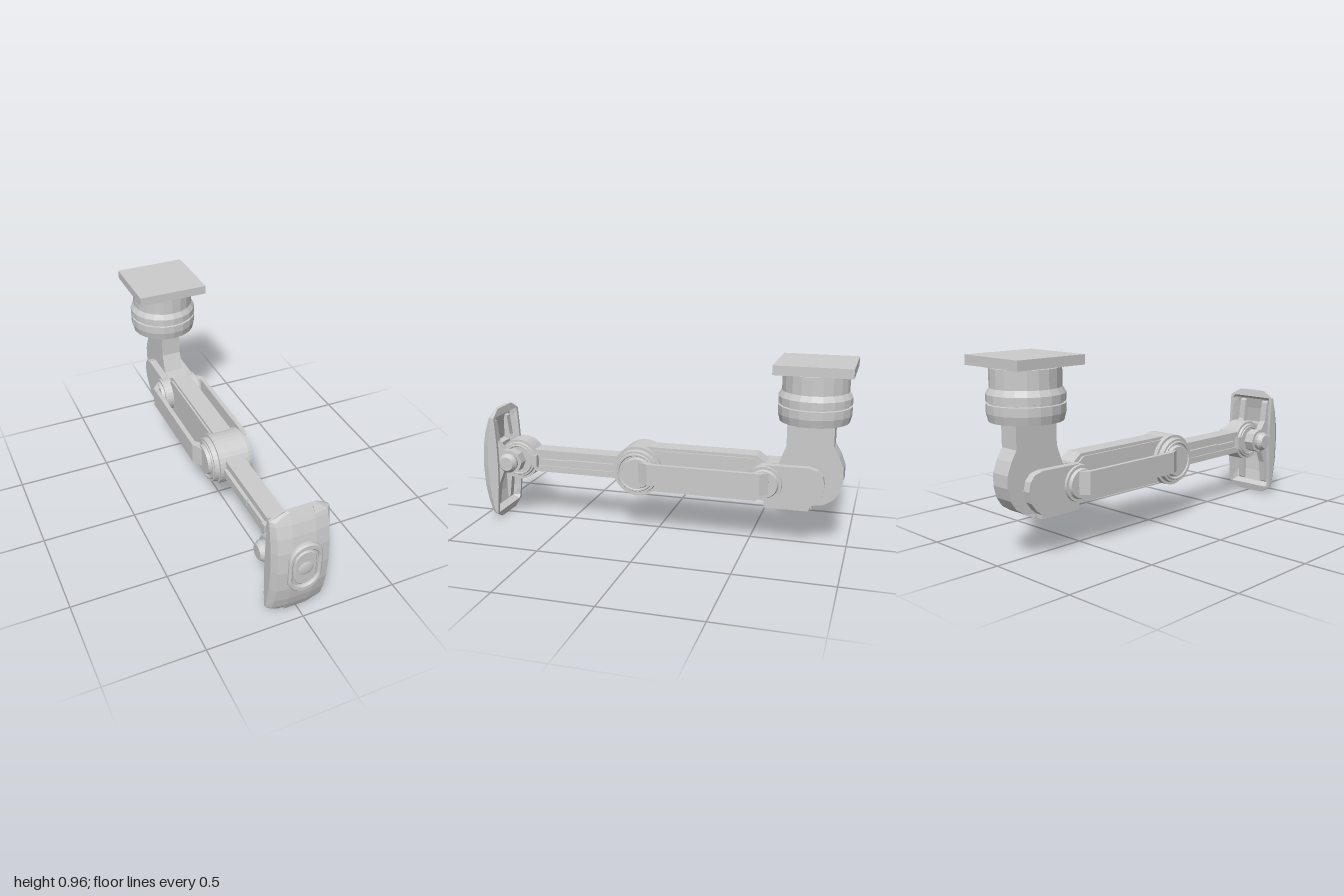
import * as THREE from 'three';

const mat = new THREE.MeshStandardMaterial({ color: 0xcccccc, flatShading: true });
const matDouble = new THREE.MeshStandardMaterial({ color: 0xcccccc, flatShading: true, side: THREE.DoubleSide });
const CX = -0.006; // centre line of the arm
const AY = 0.335;  // height of the pivots

export function createModel() {
  const root = new THREE.Group();

  function add(name, geo, material = mat) {
    const m = new THREE.Mesh(geo, material);
    m.name = name;
    root.add(m);
    return m;
  }
  const box = (name, x0, x1, y0, y1, z0, z1) =>
    add(name, new THREE.BoxGeometry(x1 - x0, y1 - y0, z1 - z0)
      .translate((x0 + x1) / 2, (y0 + y1) / 2, (z0 + z1) / 2));
  // side outline in (z, y), extruded across x
  function slab(name, pts, x0, x1) {
    const shape = new THREE.Shape(pts.map(p => new THREE.Vector2(p[0], p[1])));
    const geo = new THREE.ExtrudeGeometry(shape, { depth: x1 - x0, bevelEnabled: false });
    return add(name, geo.rotateY(-Math.PI / 2).translate(x1, 0, 0));
  }
  // disc with its axis along x; r0 is the radius at x0, r1 at x1
  function disc(name, r0, r1, x0, x1, z, y = AY, seg = 32) {
    return add(name, new THREE.CylinderGeometry(r0, r1, x1 - x0, seg)
      .rotateZ(Math.PI / 2).translate((x0 + x1) / 2, y, z));
  }
  // same disc on both sides, given by distances from the centre line
  function discPair(name, rIn, rOut, d0, d1, z, seg = 32) {
    disc(name + 'Right', rIn, rOut, CX + d0, CX + d1, z, AY, seg);
    disc(name + 'Left', rOut, rIn, CX - d1, CX - d0, z, AY, seg);
  }
  function ring(name, r, tube, d, z) {
    for (const s of [-1, 1])
      add(name, new THREE.TorusGeometry(r, tube, 6, 32).rotateY(Math.PI / 2).translate(CX + s * d, AY, z));
  }

  // mounting plate and swivel housing
  box('mountingPlate', -0.193, 0.193, 0.913, 0.96, -1, -0.617);
  const profile = [[0, 0.66], [0.174, 0.66], [0.184, 0.7], [0.184, 0.741], [0.173, 0.743], [0.173, 0.75],
    [0.184, 0.752], [0.184, 0.787], [0.167, 0.815], [0.167, 0.905], [0.16, 0.907], [0.16, 0.915]];
  add('swivelHousing', new THREE.LatheGeometry(profile.map(p => new THREE.Vector2(...p)), 20)
    .translate(0, 0, -0.807));

  // bent neck and shoulder cheeks
  slab('neck', [[-0.68, 0.67], [-0.915, 0.67], [-0.915, 0.54], [-0.945, 0.49], [-0.968, 0.43], [-0.97, 0.37],
    [-0.955, 0.31], [-0.925, 0.265], [-0.88, 0.235], [-0.82, 0.225], [-0.82, 0.205], [-0.58, 0.205],
    [-0.58, 0.43], [-0.645, 0.435], [-0.68, 0.53]], CX - 0.052, CX + 0.056);
  const cheek = [[-0.58, 0.205], [-0.58, 0.43], [-0.8, 0.432], [-0.845, 0.42], [-0.872, 0.39], [-0.882, 0.345],
    [-0.87, 0.29], [-0.84, 0.25], [-0.81, 0.225], [-0.81, 0.205]].reverse();
  slab('cheekRight', cheek, CX + 0.05, CX + 0.092);
  slab('cheekLeft', cheek, CX - 0.092, CX - 0.05);
  discPair('shoulderFlange', 0.095, 0.09, 0.05, 0.105, -0.58);
  discPair('shoulderHub', 0.078, 0.07, 0.1, 0.12, -0.58);

  // upper arm: core with a slightly smaller cover on each side
  slab('upperArm', [[0.06, 0.22], [0.06, 0.465], [-0.53, 0.465], [-0.59, 0.42], [-0.59, 0.265], [-0.53, 0.22]],
    CX - 0.05, CX + 0.05);
  slab('upperArmCover', [[0.04, 0.235], [0.04, 0.45], [-0.52, 0.45], [-0.57, 0.41], [-0.57, 0.275], [-0.52, 0.235]],
    CX - 0.06, CX + 0.06);

  // knee joint
  disc('kneeDrum', 0.135, 0.135, CX - 0.082, CX + 0.082, 0.1);
  discPair('kneeFlange', 0.122, 0.117, 0.08, 0.107, 0.1);
  ring('kneeRing', 0.098, 0.007, 0.107, 0.1);
  discPair('kneeHub', 0.085, 0.078, 0.105, 0.125, 0.09);

  // bowed links outside the upper arm, outline in (distance from centre, z)
  const link = [[0.108, 0.08], [0.125, 0.08], [0.156, 0.025], [0.156, -0.565], [0.122, -0.605], [0.108, -0.605],
    [0.108, -0.57], [0.132, -0.54], [0.132, 0.0], [0.108, 0.03]];
  for (const s of [-1, 1]) {
    const shape = new THREE.Shape(link.map(p => new THREE.Vector2(s * p[0], -p[1])));
    const geo = new THREE.ExtrudeGeometry(shape, { depth: 0.113, bevelEnabled: false });
    add(s > 0 ? 'sideLinkRight' : 'sideLinkLeft', geo.rotateX(-Math.PI / 2).translate(CX, 0.286, 0));
  }

  // forearm with edge rails and a slider in each side channel
  box('forearm', CX - 0.042, CX + 0.042, 0.275, 0.398, 0.18, 0.8);
  for (const s of [-1, 1]) {
    const side = (name, d0, d1, ...rest) =>
      box(name, CX + Math.min(s * d0, s * d1), CX + Math.max(s * d0, s * d1), ...rest);
    side('upperRail', 0.04, 0.05, 0.362, 0.398, 0.2, 0.7);
    side('lowerRail', 0.04, 0.05, 0.275, 0.308, 0.2, 0.7);
    side('sliderBar', 0.04, 0.058, 0.325, 0.348, 0.2, 0.66);
    side('sliderBlock', 0.05, 0.066, 0.318, 0.355, 0.22, 0.5);
    side('railStop', 0.04, 0.072, 0.3, 0.37, 0.685, 0.715);
  }

  // ankle joint with side bolts
  disc('ankleDrum', 0.113, 0.113, CX - 0.05, CX + 0.05, 0.8);
  discPair('ankleFlange', 0.1, 0.095, 0.05, 0.062, 0.8);
  ring('ankleRing', 0.08, 0.006, 0.062, 0.8);
  discPair('ankleNut', 0.066, 0.066, 0.06, 0.118, 0.82, 8);
  discPair('boltShank', 0.05, 0.054, 0.118, 0.14, 0.825, 20);
  discPair('boltCap', 0.054, 0.038, 0.14, 0.163, 0.825, 20);

  // ears and tapering ribs that carry the foot
  const rib = [[0.935, 0.06], [0.94, 0.565], [0.92, 0.55], [0.905, 0.44], [0.87, 0.395], [0.81, 0.395],
    [0.79, 0.335], [0.81, 0.275], [0.87, 0.275], [0.905, 0.19], [0.92, 0.07]].reverse();
  slab('footRibRight', rib, CX + 0.06, CX + 0.098);
  slab('footRibLeft', rib, CX - 0.098, CX - 0.06);
  box('footBridge', CX - 0.09, CX + 0.09, 0.24, 0.42, 0.905, 0.96);

  // foot shell: hollow sections, each [y, half width, back z, side z, front z, inner z]
  const half = [[0.004, 0.085, 0.9, 0.91, 0.922, 0.9], [0.042, 0.15, 0.893, 0.908, 0.94, 0.893],
    [0.06, 0.151, 0.892, 0.912, 0.948, 0.93], [0.12, 0.151, 0.887, 0.922, 0.967, 0.945],
    [0.2, 0.151, 0.882, 0.935, 0.982, 0.955], [0.313, 0.151, 0.88, 0.94, 0.988, 0.958]];
  const rows = [...half, ...half.slice(0, -1).reverse().map(r => [0.626 - r[0], ...r.slice(1)])];
  const pos = [], idx = [], n = 12;
  for (const [y, w, zb, zs, f, zi] of rows) {
    const right = [[0.058, f], [w - 0.02, f - 0.012], [w, zs], [w, zb], [w - 0.018, zb], [w - 0.03, zi]];
    const left = right.map(p => [-p[0], p[1]]);
    const loop = [left[3], left[2], left[1], left[0], ...right, left[5], left[4]];
    for (const [x, z] of loop) pos.push(CX + x, y, z);
  }
  for (let i = 0; i < rows.length - 1; i++)
    for (let j = 0; j < n; j++) {
      const a = i * n + j, b = i * n + (j + 1) % n;
      idx.push(a, b, b + n, a, b + n, a + n);
    }
  const top = (rows.length - 1) * n;
  for (let j = 1; j < 7; j++) idx.push(0, j + 1, j, top, top + j, top + j + 1);
  const foot = new THREE.BufferGeometry();
  foot.setAttribute('position', new THREE.Float32BufferAttribute(pos, 3));
  foot.setIndex(idx);
  foot.computeVertexNormals();
  add('footShell', foot, matDouble);

  // oval bezel, inner panel and domed button on the foot
  function oval(Shape, w, h) {
    const s = new Shape(), k = h - w;
    s.absarc(0, k, w, 0, Math.PI);
    s.absarc(0, -k, w, Math.PI, Math.PI * 2);
    s.closePath();
    return s;
  }
  function ovalPart(name, w, h, hole, z, depth, bevel) {
    const s = oval(THREE.Shape, w, h);
    if (hole) s.holes.push(oval(THREE.Path, hole[0], hole[1]));
    add(name, new THREE.ExtrudeGeometry(s, { depth, curveSegments: 10, bevelThickness: bevel,
      bevelSize: bevel, bevelSegments: 1 }).translate(CX + 0.003, 0.32, z));
  }
  ovalPart('ovalBezel', 0.078, 0.138, [0.073, 0.118], 0.965, 0.025, 0.008);
  ovalPart('ovalPanel', 0.052, 0.095, null, 0.97, 0.018, 0.005);
  add('domeButton', new THREE.SphereGeometry(0.041, 24, 12).scale(1, 1, 0.25)
    .translate(CX + 0.003, 0.318, 0.99));

  return root;
}
